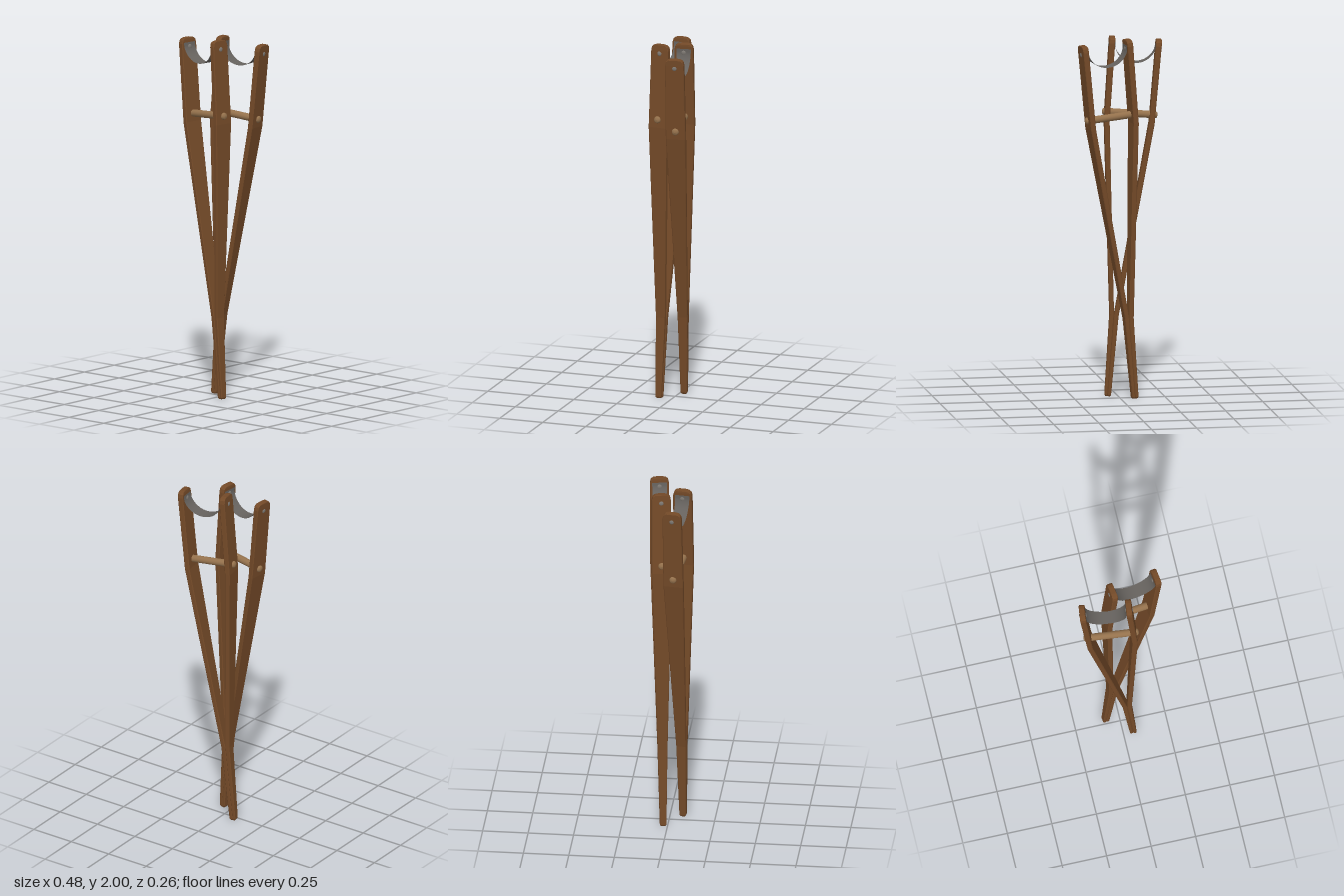
import * as THREE from 'three';

const wood = new THREE.MeshStandardMaterial({ color: 0x744a28 });
wood.name = 'brown wood';
const paleWood = new THREE.MeshStandardMaterial({ color: 0x94714c });
paleWood.name = 'pale wood';
const leather = new THREE.MeshStandardMaterial({ color: 0x66625e, side: THREE.DoubleSide });
leather.name = 'grey leather';
const metal = new THREE.MeshStandardMaterial({ color: 0x7d7872 });
metal.name = 'rivet metal';

function named(name, geometry, material) {
  const mesh = new THREE.Mesh(geometry, material);
  mesh.name = name;
  return mesh;
}

// Post: bevelled rectangular sections [height, inner x, outer x, half depth]
const sections = [
  [0.0, 0, 0.014, 0.014],
  [0.008, 0, 0.018, 0.018],
  [0.45, 0, 0.025, 0.027],
  [1.53, 0.109, 0.138, 0.055],
  [1.962, 0.112, 0.144, 0.052],
  [1.982, 0.112, 0.144, 0.047],
  [1.991, 0.113, 0.144, 0.037],
  [1.995, 0.115, 0.142, 0.02],
];

function postGeometry(side) {
  const n = 8, pos = [], idx = [];
  for (const [y, inner, outer, d] of sections) {
    const b = 0.004;
    const ring = [
      [outer, d - b], [outer, b - d], [outer - b, -d], [inner + b, -d],
      [inner, b - d], [inner, d - b], [inner + b, d], [outer - b, d],
    ];
    for (const [x, z] of ring) pos.push(x * side, y, z);
  }
  const tri = (a, b, c) => (side > 0 ? idx.push(a, b, c) : idx.push(a, c, b));
  for (let r = 0; r < sections.length - 1; r++) {
    for (let i = 0; i < n; i++) {
      const a = r * n + i, b = r * n + (i + 1) % n;
      tri(a, b, b + n);
      tri(a, b + n, a + n);
    }
  }
  // End caps
  const top = (sections.length - 1) * n;
  for (let i = 1; i < n - 1; i++) {
    tri(0, i + 1, i);
    tri(top, top + i, top + i + 1);
  }
  const g = new THREE.BufferGeometry();
  g.setAttribute('position', new THREE.Float32BufferAttribute(pos, 3));
  g.setIndex(idx);
  const flat = g.toNonIndexed();
  flat.computeVertexNormals();
  return flat;
}

// Sagging strap swept along a curve between the inner post faces
function strapGeometry() {
  const half = [[0.111, 1.968], [0.109, 1.94], [0.092, 1.905], [0.052, 1.872]];
  const pts = [
    ...half.map(([x, y]) => new THREE.Vector3(-x, y, 0)),
    new THREE.Vector3(0, 1.86, 0),
    ...half.slice().reverse().map(([x, y]) => new THREE.Vector3(x, y, 0)),
  ];
  const curve = new THREE.CatmullRomCurve3(pts);
  const g = new THREE.PlaneGeometry(1, 1, 32, 2);
  const p = g.attributes.position;
  for (let i = 0; i < p.count; i++) {
    const u = p.getX(i) + 0.5;
    const c = curve.getPoint(u);
    const width = 0.072 + 0.01 * Math.abs(2 * u - 1);
    p.setXYZ(i, c.x, c.y, -p.getY(i) * width);
  }
  g.computeVertexNormals();
  return g;
}

// Round hand grip with softly domed ends
function gripGeometry() {
  const profile = [
    [0, -0.153], [0.012, -0.151], [0.018, -0.146], [0.02, -0.138],
    [0.02, 0.138], [0.018, 0.146], [0.012, 0.151], [0, 0.153],
  ].map(([x, y]) => new THREE.Vector2(x, y));
  return new THREE.LatheGeometry(profile, 20).rotateZ(Math.PI / 2);
}

function crutch(name, bottom, top, across) {
  const g = new THREE.Group();
  g.name = name;
  for (const side of [1, -1]) {
    const label = side > 0 ? 'left' : 'right';
    g.add(named(label + 'Post', postGeometry(side), wood));
    // Rivet heads outside and inside each post
    for (const [face, x] of [['Outer', 0.1425], ['Inner', 0.111]]) {
      const rivet = named(label + face + 'Rivet', new THREE.SphereGeometry(0.013, 14, 10), metal);
      rivet.scale.x = 0.4;
      rivet.position.set(side * x, 1.945, 0);
      g.add(rivet);
    }
  }
  const grip = named('handGrip', gripGeometry(), paleWood);
  grip.position.y = 1.575;
  g.add(grip, named('armStrap', strapGeometry(), leather));

  // Lean the crutch from its foot towards its top
  const yAxis = top.clone().sub(bottom).normalize();
  const zAxis = across.clone().cross(yAxis).normalize();
  const xAxis = yAxis.clone().cross(zAxis);
  g.quaternion.setFromRotationMatrix(new THREE.Matrix4().makeBasis(xAxis, yAxis, zAxis));
  g.position.copy(bottom);
  return g;
}

export function createModel() {
  const V = (x, y, z) => new THREE.Vector3(x, y, z);
  const model = new THREE.Group();
  model.name = 'pairOfCrutches';
  model.add(
    crutch('frontCrutch', V(0.056, 0.002, 0.072), V(-0.0965, 1.985, 0.056), V(0.25, 0, 0.032)),
    crutch('backCrutch', V(-0.078, 0.002, -0.025), V(0.092, 1.985, -0.058), V(0.25, 0, -0.036)),
  );
  return model;
}
